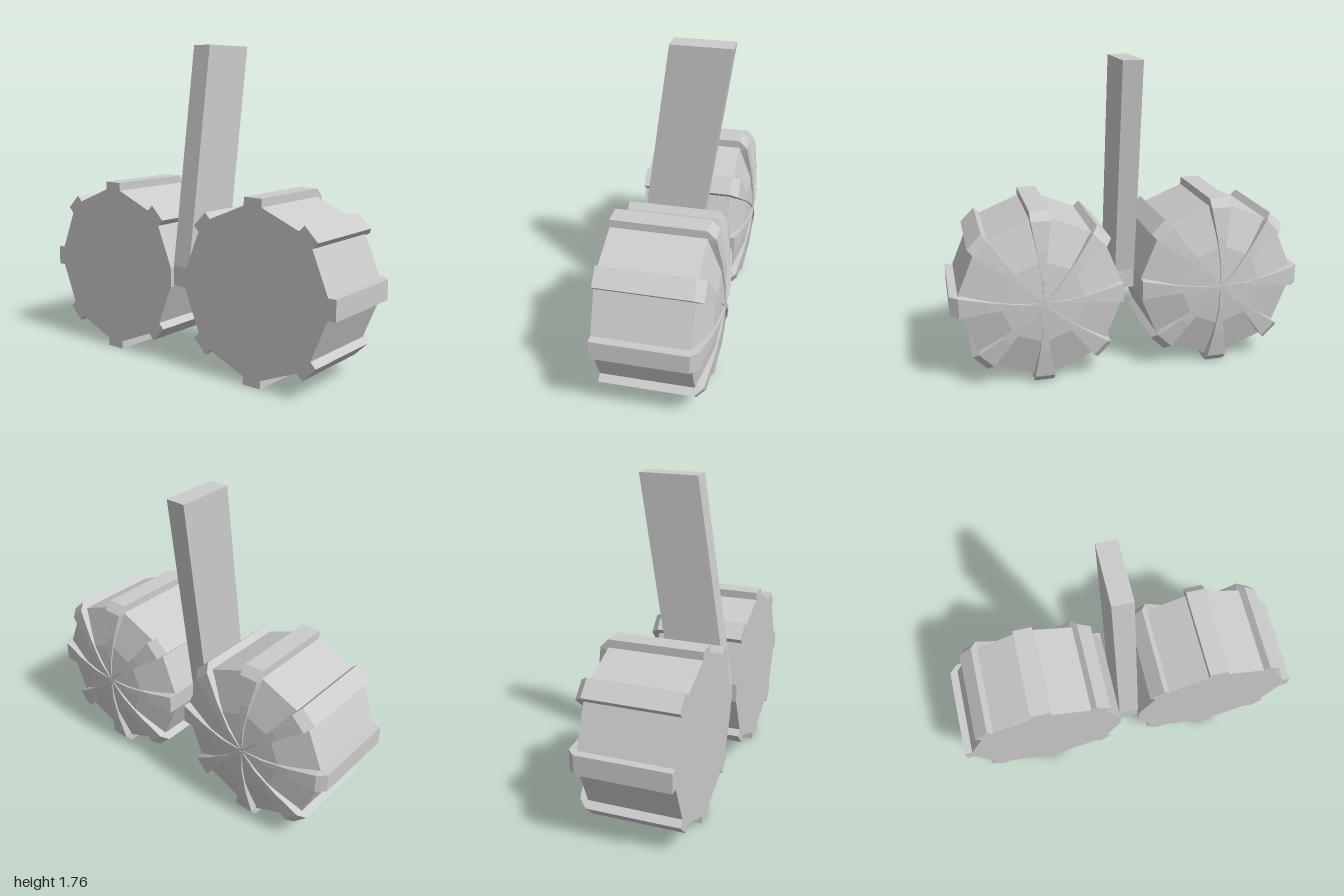
import * as THREE from 'three';

const material = new THREE.MeshStandardMaterial({ color: 0xcccccc, flatShading: true });

// Skin a series of closed loops and cap both ends.
function loft(name, rings) {
  const pos = [];
  const tri = (a, b, c) => pos.push(...a, ...b, ...c);
  const n = rings[0].length;
  for (let s = 0; s < rings.length - 1; s++) {
    for (let i = 0; i < n; i++) {
      const j = (i + 1) % n;
      const a = rings[s][i], b = rings[s][j], c = rings[s + 1][j], d = rings[s + 1][i];
      tri(a, b, c);
      tri(a, c, d);
    }
  }
  const first = rings[0], last = rings[rings.length - 1];
  for (let i = 1; i < n - 1; i++) {
    tri(first[0], first[i + 1], first[i]);
    tri(last[0], last[i], last[i + 1]);
  }
  const geometry = new THREE.BufferGeometry();
  geometry.setAttribute('position', new THREE.Float32BufferAttribute(pos, 3));
  geometry.computeVertexNormals();
  const mesh = new THREE.Mesh(geometry, material);
  mesh.name = name;
  return mesh;
}

// Point at radius r and sideways offset w, turned by angle a about the x axis.
const polar = (x, r, w, a) => [
  x,
  r * Math.cos(a) - w * Math.sin(a),
  r * Math.sin(a) + w * Math.cos(a),
];

const STEP = Math.PI / 4;

function createDrum(name, inwardIndex) {
  const drum = new THREE.Group();
  drum.name = name;

  // Sixteen-sided body with a shallow domed front: [x, radius, half width of rib seat]
  const profile = [
    [-0.305, 0.45, 0.055],
    [0.21, 0.45, 0.055],
    [0.28, 0.23, 0.016],
    [0.3, 0.006, 0.002],
  ];
  const rings = profile.map(([x, r, w]) => {
    const ring = [];
    for (let k = 0; k < 8; k++) ring.push(polar(x, r, -w, k * STEP), polar(x, r, w, k * STEP));
    return ring;
  });
  drum.add(loft('drumBody', rings));

  // Ribs along the side that taper to the middle of the dome:
  // [top x, top radius, base x, base radius, half width]
  const side = [
    [-0.305, 0.495, -0.305, 0.44, 0.055],
    [0.21, 0.495, 0.21, 0.44, 0.055],
  ];
  const flushStart = [[0.209, 0.45, 0.209, 0.44, 0.055]];
  const front = [
    [0.255, 0.45, 0.21, 0.43, 0.055],
    [0.284, 0.29, 0.235, 0.29, 0.029],
    [0.301, 0.135, 0.27, 0.135, 0.009],
    [0.303, 0.005, 0.28, 0.005, 0.006],
  ];
  for (let k = 0; k < 8; k++) {
    const stations = (k === inwardIndex ? flushStart : side).concat(front);
    const a = k * STEP;
    drum.add(loft('rib', stations.map(([xt, rt, xb, rb, w]) => [
      polar(xb, rb, -w, a), polar(xt, rt, -w, a), polar(xt, rt, w, a), polar(xb, rb, w, a),
    ])));
  }
  return drum;
}

export function createModel() {
  const model = new THREE.Group();
  model.name = 'twinDrumsWithHandle';

  // Two drums side by side, each without a side rib where they face each other
  for (const [name, z, inward] of [['frontDrum', 0.505, 6], ['rearDrum', -0.505, 2]]) {
    const drum = createDrum(name, inward);
    drum.position.set(0, 0.495, z);
    model.add(drum);
  }

  // Upright connecting block that continues into the leaning handle
  const shape = new THREE.Shape([
    [-0.278, 0.445], [0.058, 0.445], [0.058, 0.555],
    [0.236, 1.765], [-0.1, 1.765], [-0.278, 0.555],
  ].map(([x, y]) => new THREE.Vector2(x, y)));
  const geometry = new THREE.ExtrudeGeometry(shape, { depth: 0.112, bevelEnabled: false });
  geometry.translate(0, 0, -0.056);
  const handle = new THREE.Mesh(geometry, material);
  handle.name = 'handle';
  model.add(handle);

  return model;
}
